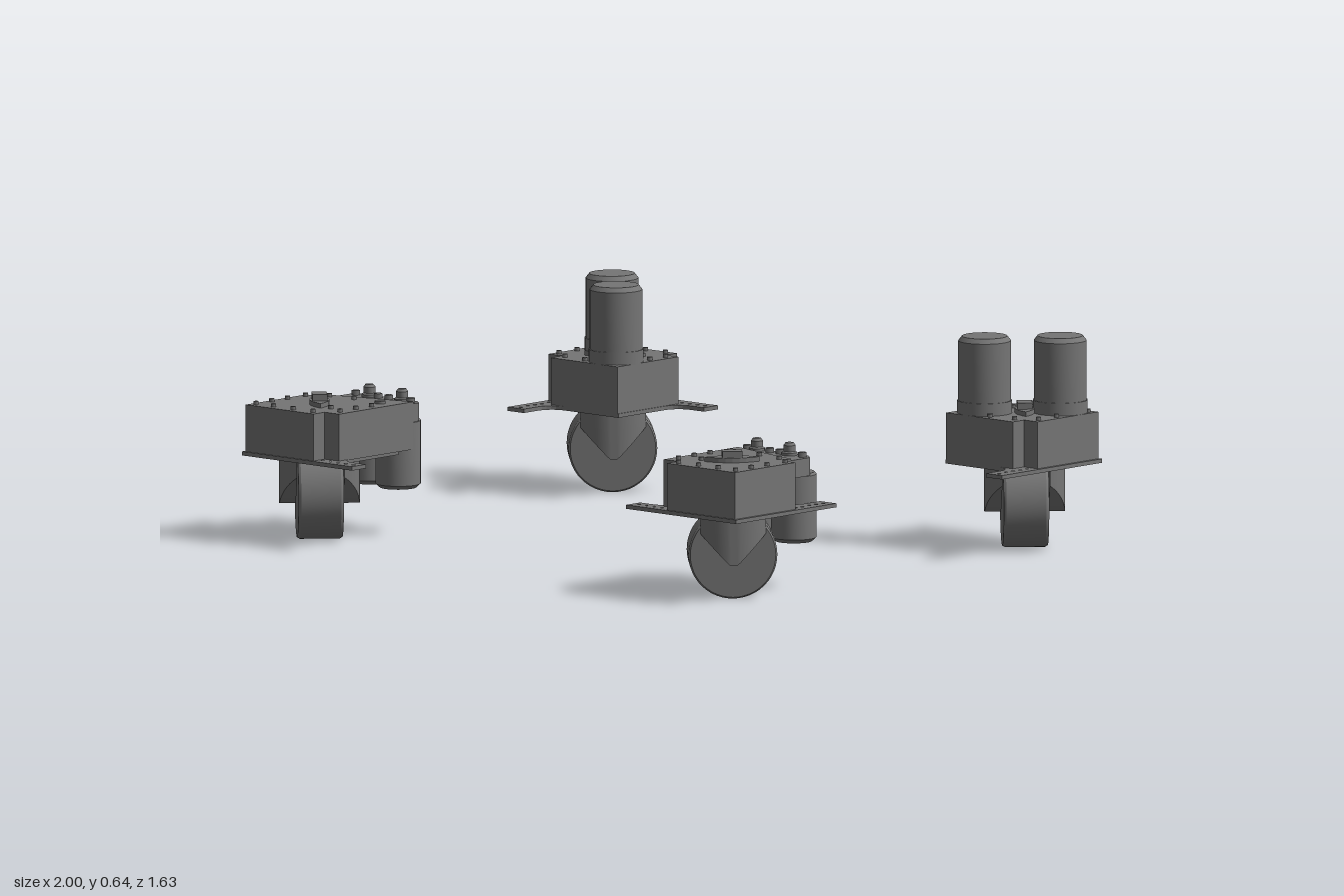
import * as THREE from 'three';
import { toCreasedNormals } from 'three/addons/utils/BufferGeometryUtils.js';

const metal = new THREE.MeshStandardMaterial({ color: 0x757575 });
metal.name = 'grey metal';

function add(parent, name, geometry, x = 0, y = 0, z = 0) {
  const mesh = new THREE.Mesh(geometry, metal);
  mesh.name = name;
  mesh.position.set(x, y, z);
  parent.add(mesh);
  return mesh;
}

// Solid of revolution from [radius, height] pairs, listed bottom to top
function turned(profile, sides = 40) {
  const pts = profile.map(([r, y]) => new THREE.Vector2(r, y));
  return toCreasedNormals(new THREE.LatheGeometry(pts, sides), 0.5);
}

// Extrude a ground-plan outline between two heights
function slab(shape, bottom, top) {
  const g = new THREE.ExtrudeGeometry(shape, { depth: top - bottom, bevelEnabled: false, curveSegments: 8 });
  return g.rotateX(Math.PI / 2).translate(0, top, 0);
}

// One fork cheek: a segment of a round column, cut to a V at the bottom
function cheekGeometry() {
  const R = 0.121, inner = 0.071, top = 0.258, n = 20;
  const half = Math.sqrt(R * R - inner * inner);
  const pos = [], index = [];
  for (let i = 0; i <= n; i++) {
    const u = half * (2 * i / n - 1);
    const outer = Math.max(inner, Math.sqrt(R * R - u * u));
    const bottom = 0.108 + Math.max(0, Math.abs(u) - 0.012) * 1.05;
    pos.push(inner, bottom, u, outer, bottom, u, outer, top, u, inner, top, u);
  }
  for (let i = 0; i < n; i++) {
    for (let k = 0; k < 4; k++) {
      const a = i * 4 + k, b = i * 4 + (k + 1) % 4;
      index.push(a, b, b + 4, a, b + 4, a + 4);
    }
  }
  const g = new THREE.BufferGeometry();
  g.setAttribute('position', new THREE.Float32BufferAttribute(pos, 3));
  g.setIndex(index);
  return toCreasedNormals(g, 0.4);
}

// Coordinates a and b run inward from the outer corner along x and z
function createUnit(sx, sz) {
  const unit = new THREE.Group();
  const isFront = sz > 0;
  const X = a => sx * (1 - a);
  const Z = b => sz * (0.813 - b);
  const outline = pts => new THREE.Shape(pts.map(([a, b]) => new THREE.Vector2(X(a), Z(b))));

  // Base plate with two drilled mounting arms and curved inner corners
  const fillet = (ca, cb, r, from) => Array.from({ length: 7 }, (_, i) => {
    const t = from - (i / 6) * Math.PI / 2;
    return [ca + r * Math.cos(t), cb + r * Math.sin(t)];
  });
  const plate = outline([
    [0, 0], [0.445, 0], [0.445, 0.062],
    ...fillet(0.393, 0.117, 0.055, -Math.PI / 2),
    [0.338, 0.325],
    ...fillet(0.12, 0.38, 0.055, -Math.PI / 2),
    [0.065, 0.445], [0, 0.445],
  ]);
  for (let i = 0; i < 5; i++) {
    const d = 0.298 + i * 0.031;
    for (const [a, b] of [[d, 0.032], [0.032, d]]) {
      plate.holes.push(new THREE.Path().absarc(X(a), Z(b), 0.006, 0, Math.PI * 2, true));
    }
  }
  add(unit, 'mountingPlate', slab(plate, 0.252, 0.264));

  // Gearbox housing, notched where the arms are bolted on
  const inner = isFront ? [[0.343, 0.055], [0.343, 0.385], [0.07, 0.32]] : [[0.335, 0.055], [0.335, 0.325], [0.065, 0.325]];
  const housing = outline([[0.01, 0.006], [0.285, 0.006], [0.285, 0.055], ...inner, [0.065, 0.275], [0.01, 0.275]]);
  add(unit, 'gearboxHousing', slab(housing, 0.262, 0.406));

  // Screw heads around the lid
  const screws = [[0.03, 0.03], [0.1, 0.03], [0.18, 0.03], [0.26, 0.03], [0.03, 0.1], [0.03, 0.17],
    [0.03, 0.25], [0.09, 0.29], [0.315, 0.09], [0.315, 0.16], [0.315, 0.23], [0.25, 0.12], [0.18, 0.3]];
  for (const [a, b] of screws) {
    add(unit, 'screwHead', new THREE.CylinderGeometry(0.008, 0.008, 0.012, 12), X(a), 0.41, Z(b));
  }

  if (isFront) {
    // Low drive deck with two motors hanging below it
    const deck = outline([[0.343, 0.3], [0.343, 0.41], [0.32, 0.43], [0.1, 0.43], [0.07, 0.405], [0.07, 0.3]]);
    add(unit, 'motorDeck', slab(deck, 0.345, 0.4));
    for (const [a, b] of [[0.274, 0.393], [0.142, 0.412]]) {
      add(unit, 'hangingMotor', turned([[0, 0.14], [0.055, 0.14], [0.068, 0.152], [0.068, 0.343], [0.062, 0.35], [0, 0.35]]), X(a), 0, Z(b));
      add(unit, 'motorPeg', turned([[0.024, 0.39], [0.024, 0.408], [0.018, 0.412], [0.018, 0.43], [0.012, 0.438], [0, 0.438]], 16), X(a + 0.008), 0, Z(0.402));
      for (const side of [-1, 1]) {
        add(unit, 'deckNut', new THREE.CylinderGeometry(0.013, 0.013, 0.016, 6), X(a + side * 0.045), 0.406, Z(0.4));
      }
    }
    add(unit, 'idlerCap', new THREE.CylinderGeometry(0.016, 0.016, 0.012, 16), X(0.29), 0.408, Z(0.295));
  } else {
    // Two upright motors on collars
    for (const [a, b] of [[0.093, 0.084], [0.254, 0.243]]) {
      add(unit, 'motorCollar', new THREE.CylinderGeometry(0.082, 0.082, 0.04, 40), X(a), 0.424, Z(b));
      add(unit, 'uprightMotor', turned([[0.079, 0.4], [0.079, 0.624], [0.068, 0.638], [0, 0.64]]), X(a), 0, Z(b));
    }
  }

  // Steering assembly, turned so the wheel axle points along the diagonal
  const steering = new THREE.Group();
  steering.name = 'steeringAssembly';
  steering.position.set(X(0.165), 0, Z(0.163));
  steering.rotation.y = -sx * sz * Math.PI / 4;
  unit.add(steering);

  const w = 0.068;
  const wheel = turned([[0, -w], [0.128, -w], [0.133, -w + 0.008], [0.133, w - 0.008], [0.128, w], [0, w]], 48);
  add(steering, 'wheel', wheel.rotateZ(Math.PI / 2), 0, 0.133, 0);
  const cheek = cheekGeometry();
  add(steering, 'forkCheek', cheek);
  add(steering, 'forkCheek', cheek).rotation.y = Math.PI;

  // Pointed bracket and sensor block above the steering axis
  const lens = new THREE.Shape();
  lens.moveTo(0, -0.082);
  lens.quadraticCurveTo(0.06, 0, 0, 0.082);
  lens.quadraticCurveTo(-0.06, 0, 0, -0.082);
  add(steering, 'sensorBracket', slab(lens, 0.4, 0.42));
  add(steering, 'sensorBlock', new THREE.BoxGeometry(0.045, 0.03, 0.06), 0, 0.424, 0);
  return unit;
}

export function createModel() {
  const model = new THREE.Group();
  model.name = 'driveUnits';
  for (const sx of [1, -1]) {
    for (const sz of [1, -1]) {
      const unit = createUnit(sx, sz);
      unit.name = (sz > 0 ? 'front' : 'back') + (sx > 0 ? 'Left' : 'Right') + 'Unit';
      model.add(unit);
    }
  }
  return model;
}
